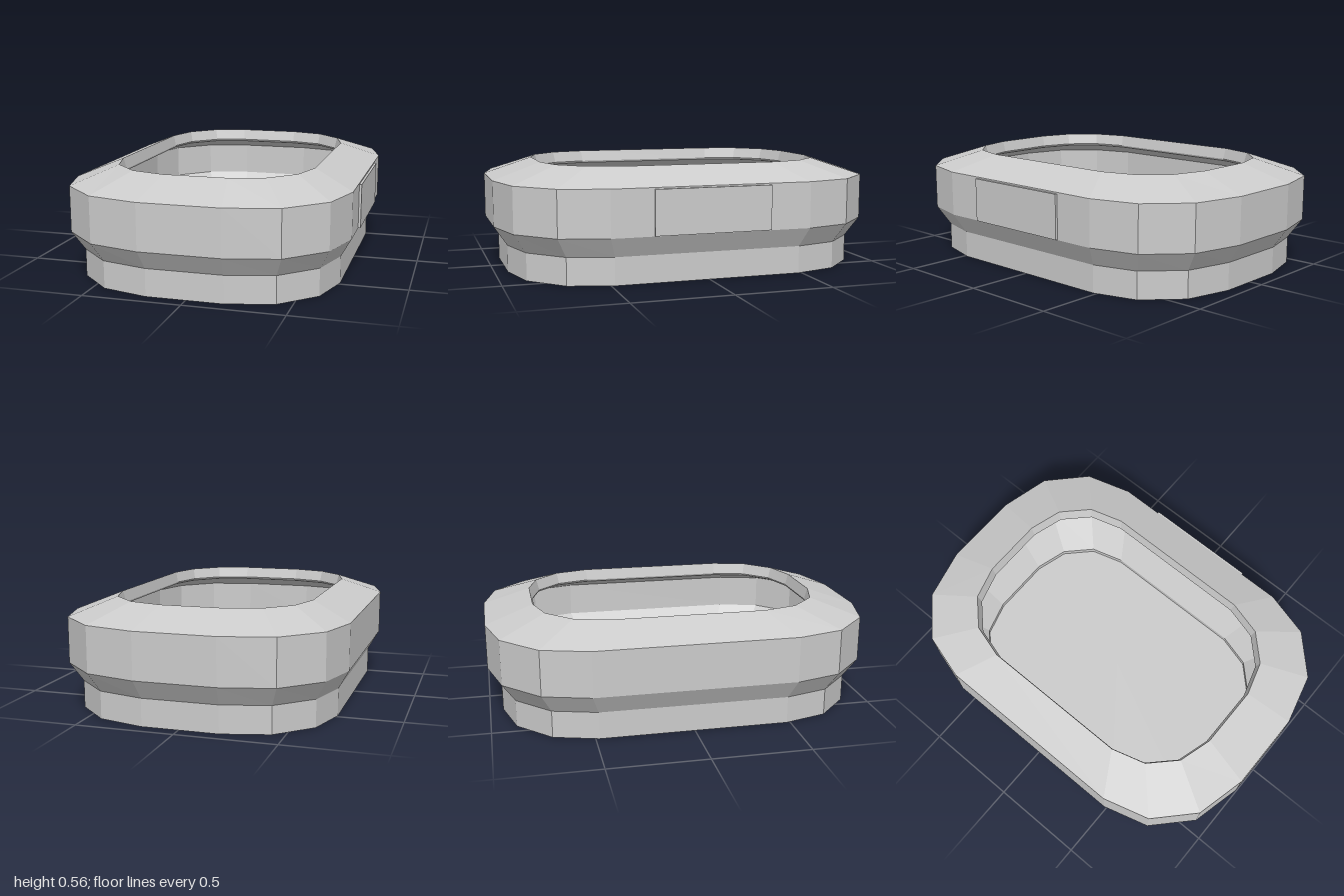
import * as THREE from 'three';

// Quarter outlines [x, z]: the top opening (t = 0) and the widest belt (t = 1)
const OPENING = [[0.505, 0.39], [0.455, 0.565], [0.33, 0.69], [0.16, 0.74]];
const BELT = [[0.723, 0.515], [0.655, 0.755], [0.467, 0.935], [0.205, 1.0]];

// Sixteen-point outline blended between opening and belt, mirrored into four quadrants
function outline(t) {
  const quarter = OPENING.map(([x, z], i) => [
    x + (BELT[i][0] - x) * t,
    z + (BELT[i][1] - z) * t,
  ]);
  const back = [...quarter].reverse();
  return [
    ...quarter,
    ...back.map(([x, z]) => [-x, z]),
    ...quarter.map(([x, z]) => [-x, -z]),
    ...back.map(([x, z]) => [x, -z]),
  ];
}

// Skin a profile of [t, y] rings; t = null collapses the ring to the centre
function loft(profile) {
  const pos = [];
  const rings = profile.map(([t, y]) =>
    outline(t ?? 0).map(([x, z]) => (t === null ? [0, y, 0] : [x, y, z])));
  for (let i = 0; i < rings.length - 1; i++) {
    const n = rings[i].length;
    for (let j = 0; j < n; j++) {
      const k = (j + 1) % n;
      const a = rings[i][j], b = rings[i][k];
      const c = rings[i + 1][j], d = rings[i + 1][k];
      if (profile[i + 1][0] !== null) pos.push(...a, ...c, ...d);
      if (profile[i][0] !== null) pos.push(...a, ...d, ...b);
    }
  }
  const geo = new THREE.BufferGeometry();
  geo.setAttribute('position', new THREE.Float32BufferAttribute(pos, 3));
  geo.computeVertexNormals();
  return geo;
}

export function createModel() {
  const group = new THREE.Group();
  const material = new THREE.MeshStandardMaterial({ color: 0xcccccc, flatShading: true });
  const add = (name, geometry, x = 0, y = 0, z = 0) => {
    const mesh = new THREE.Mesh(geometry, material);
    mesh.name = name;
    mesh.position.set(x, y, z);
    group.add(mesh);
  };
  const shift = -0.007; // the side panel sticks out on +x

  // Flat underside, plinth, flare, belt and sloping rim
  add('outerShell', loft([
    [null, 0], [0.74, 0], [0.74, 0.14], [1, 0.24], [1, 0.475], [0.04, 0.56],
  ]), shift);

  // Lip, undercut hollow, sloping bowl and sunken floor
  add('innerBowl', loft([
    [0.04, 0.56], [-0.02, 0.5], [0, 0.49], [0.7, 0.43], [0.7, 0.25],
    [0.06, 0.05], [0.06, 0.02], [null, 0.02],
  ]), shift);

  // Thin rectangular panel on the left side
  add('sidePanel', new THREE.BoxGeometry(0.03, 0.225, 0.6), 0.713, 0.355, 0);

  return group;
}
